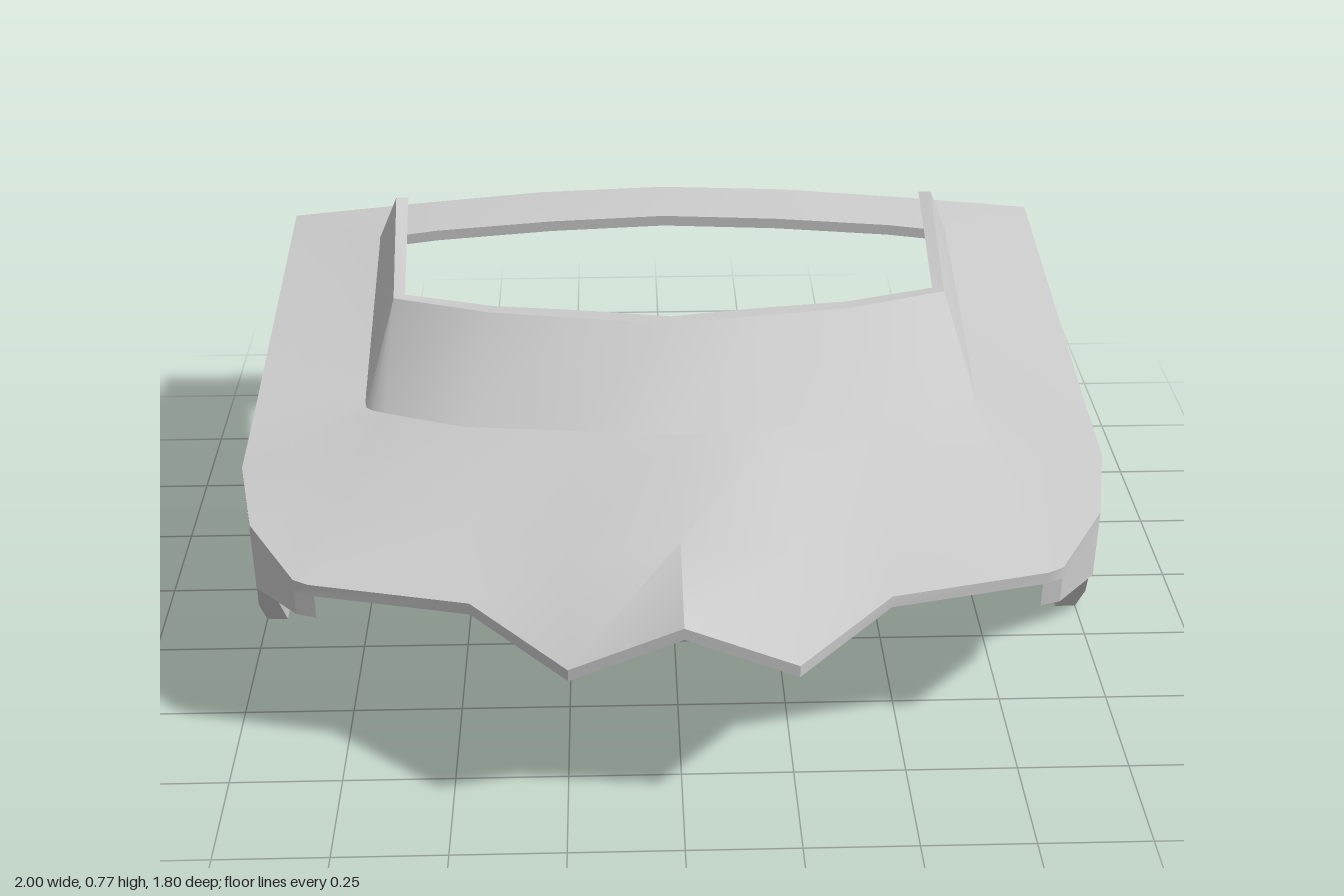
import * as THREE from 'three';
import { toCreasedNormals } from 'three/addons/utils/BufferGeometryUtils.js';

const T = 0.028; // sheet thickness
const material = new THREE.MeshStandardMaterial({ color: 0xcccccc, side: THREE.DoubleSide });
const v = (x, y, z) => new THREE.Vector3(x, y, z);
const lower = (p) => v(p.x, p.y - T, p.z);
const flip = (p) => v(-p.x, p.y, p.z);

// Skin between consecutive cross-sections (arrays of points), skipping collapsed triangles
function loft(name, sections, { closedPath = false, closedSection = false } = {}) {
  const pos = [];
  const tri = (a, b, c) => {
    const n = b.clone().sub(a).cross(c.clone().sub(a));
    if (n.length() > 1e-7) pos.push(...a.toArray(), ...b.toArray(), ...c.toArray());
  };
  const n = sections.length, m = sections[0].length;
  for (let i = 0; i < (closedPath ? n : n - 1); i++) {
    const A = sections[i], B = sections[(i + 1) % n];
    for (let j = 0; j < (closedSection ? m : m - 1); j++) {
      const k = (j + 1) % m;
      tri(A[j], B[j], B[k]);
      tri(A[j], B[k], A[k]);
    }
  }
  const geo = new THREE.BufferGeometry();
  geo.setAttribute('position', new THREE.Float32BufferAttribute(pos, 3));
  const mesh = new THREE.Mesh(toCreasedNormals(geo, 0.5), material);
  mesh.name = name;
  return mesh;
}

// Stations from front centre round the left side to the rear centre:
// outer rim, cowl foot, cowl lip outside, cowl lip inside, bulge of the sheet
const lipFront = [v(0, 0.745, 0.02), v(0, 0.742, -0.027)];
const lipQuarter = [v(0.22, 0.745, -0.02), v(0.21, 0.742, -0.064)];
const lipHalf = [v(0.43, 0.742, -0.06), v(0.42, 0.738, -0.1)];
const lipCorner = [v(0.665, 0.732, -0.16), v(0.64, 0.728, -0.188)];
const lipRear = [v(0.697, 0.775, -0.655), v(0.667, 0.77, -0.668)];
const stations = [
  [v(0, 0.505, 0.9), v(0, 0.6, 0.285), lipFront, 0.01],
  [v(0.24, 0.405, 0.9), v(0.245, 0.583, 0.228), lipQuarter, 0.025],
  [v(0.45, 0.45, 0.72), v(0.49, 0.565, 0.172), lipHalf, 0.01],
  [v(0.8, 0.45, 0.64), v(0.68, 0.54, 0.06), lipCorner, 0.01],
  [v(0.835, 0.45, 0.62), v(0.71, 0.533, 0.035), lipCorner, 0.01],
  [v(0.95, 0.475, 0.44), v(0.728, 0.53, 0.015), lipCorner, 0.005],
  [v(1, 0.485, 0.21), v(0.733, 0.53, -0.01), lipCorner, 0],
  [v(1, 0.505, 0), v(0.735, 0.535, -0.05), lipCorner, 0],
  [v(1, 0.594, -0.71), v(0.754, 0.63, -0.71), lipRear, 0],
  [v(1, 0.617, -0.9), v(0.755, 0.632, -0.718), null, 0],
  [v(0.66, 0.65, -0.9), v(0.6, 0.648, -0.725), null, 0],
  [v(0.33, 0.678, -0.9), v(0.3, 0.667, -0.733), null, 0],
  [v(0, 0.69, -0.9), v(0, 0.676, -0.74), null, 0],
];

// Full cross-section: rim, mid sheet, cowl up and over, back under the sheet
function section([rim, foot, lip, bulge]) {
  const mid = rim.clone().lerp(foot, 0.4);
  mid.y += bulge;
  const [lipOut, lipIn] = lip ?? [foot, foot];
  const inner = lower(foot);
  inner.x += lipIn.x - lipOut.x;
  inner.z += lipIn.z - lipOut.z;
  return [lower(rim), rim, mid, foot, lipOut, lipIn, inner, lower(mid), lower(rim)];
}

// Side wall: outer x, z, inner x, z, bottom y
const wallPath = [
  [0.835, 0.62, 0.79, 0.635, 0.36],
  [0.95, 0.44, 0.9, 0.42, 0.305],
  [0.97, 0.35, 0.92, 0.34, 0.28],
  [1, 0.21, 0.95, 0.21, 0.1],
  [1, 0.13, 0.95, 0.13, 0],
  [1, -0.55, 0.95, -0.55, 0],
  [1, -0.74, 0.95, -0.74, 0.4],
  [1, -0.86, 0.95, -0.86, 0.415],
  [1, -0.9, 0.95, -0.9, 0.589],
];

// Height of the rim's underside along the flank
function rimUnder(z) {
  const knots = [[0.62, 0.45], [0.44, 0.475], [0.21, 0.485], [0, 0.505], [-0.9, 0.617]];
  for (let i = 1; i < knots.length; i++) {
    const [z0, y0] = knots[i - 1], [z1, y1] = knots[i];
    if (z >= z1 - 1e-6) return y0 + (y1 - y0) * (z0 - z) / (z0 - z1) - T;
  }
  return 0.589;
}

export function createModel() {
  const group = new THREE.Group();
  group.name = 'bodyShell';

  // Deck and raised cowl, mirrored into a closed ring
  const half = stations.map(section);
  const ring = [...half, ...half.slice(1, -1).reverse().map((s) => s.map(flip))];
  const band = (name, from, to) =>
    group.add(loft(name, ring.map((s) => s.slice(from, to + 1)), { closedPath: true }));
  band('deckTop', 0, 3);
  band('cowl', 3, 6);
  band('deckUnderside', 6, 8);

  // Side walls hanging from the deck, with a closed front end
  const wall = wallPath.map(([ox, oz, ix, iz, y]) => {
    const top = rimUnder(oz);
    return [v(ox, y, oz), v(ox, top, oz), v(ix, top, iz), v(ix, y, iz)];
  });
  const [, , it, ib] = wall[0];
  wall.unshift([ib, it, it, ib]);
  group.add(loft('leftSideWall', wall, { closedSection: true }));
  const mirrored = wall.map((s) => s.map(flip)).reverse();
  group.add(loft('rightSideWall', mirrored, { closedSection: true }));

  return group;
}
